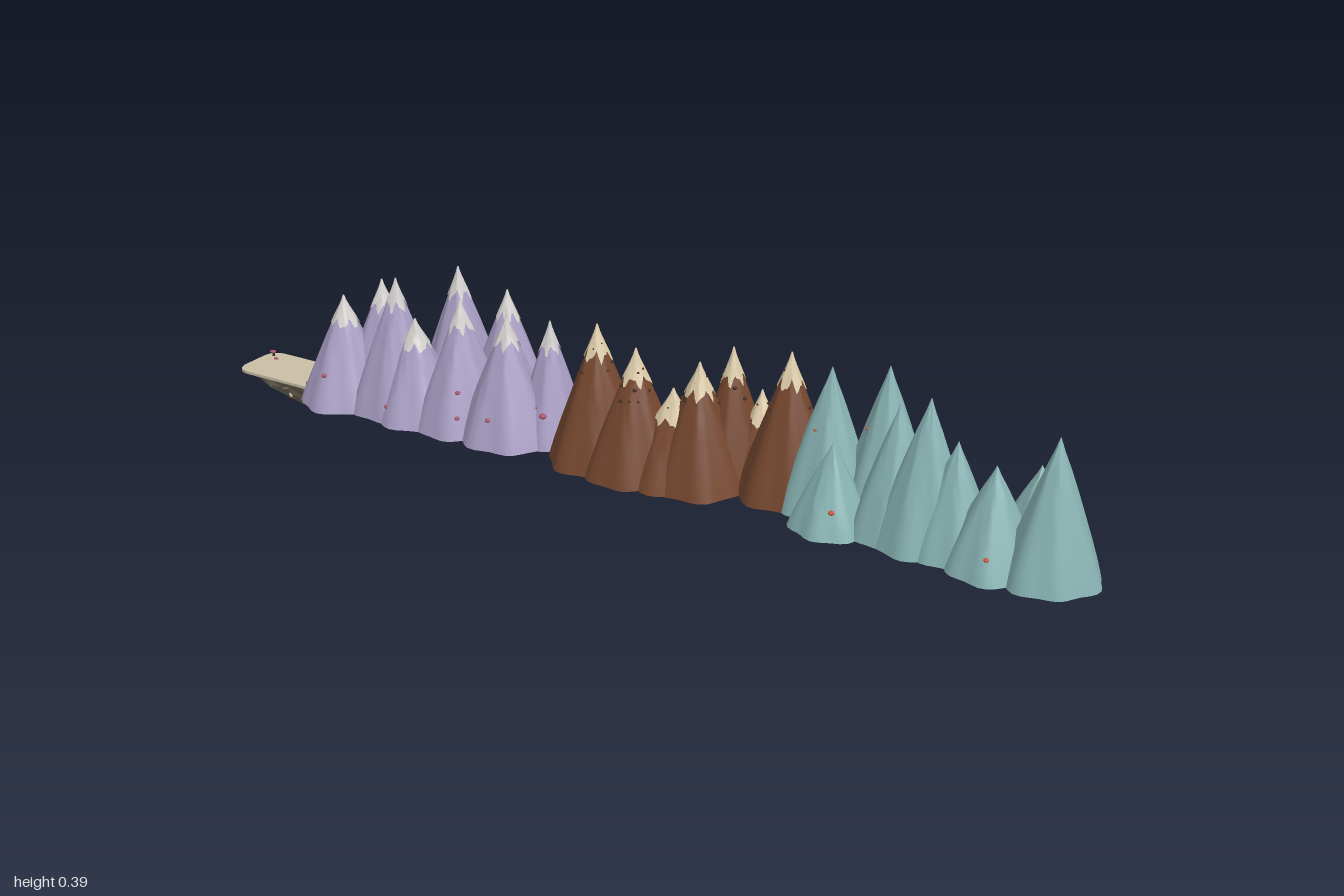
import * as THREE from 'three';
import { mergeVertices, toCreasedNormals } from 'three/addons/utils/BufferGeometryUtils.js';

const mat = (name, color, side = THREE.FrontSide) => {
  const m = new THREE.MeshStandardMaterial({ color, side });
  m.name = name;
  return m;
};
const BASE = 0.08;

// [x, z, peak y, base radius]
const RANGES = {
  lilac: [
    [-0.69, 0.05, 0.31, 0.1], [-0.63, -0.005, 0.34, 0.1], [-0.565, 0.03, 0.365, 0.1],
    [-0.51, 0.04, 0.29, 0.1], [-0.47, -0.06, 0.382, 0.1], [-0.4, 0.03, 0.35, 0.1],
    [-0.345, -0.06, 0.355, 0.1], [-0.28, 0.035, 0.34, 0.1], [-0.205, -0.01, 0.33, 0.08],
  ],
  brown: [
    [-0.13, -0.07, 0.3, 0.085], [-0.065, 0.03, 0.365, 0.1], [0.035, 0.045, 0.34, 0.1],
    [0.115, 0.035, 0.27, 0.095], [0.165, 0.02, 0.33, 0.1], [0.208, -0.035, 0.352, 0.085],
    [0.265, -0.05, 0.27, 0.075], [0.338, -0.03, 0.37, 0.1],
  ],
  teal: [
    [0.43, -0.02, 0.368, 0.095], [0.475, 0.055, 0.25, 0.08], [0.535, -0.05, 0.382, 0.095],
    [0.588, 0.01, 0.34, 0.09], [0.655, 0.025, 0.37, 0.095], [0.715, 0.03, 0.3, 0.085],
    [0.8, 0.05, 0.28, 0.09], [0.85, -0.04, 0.258, 0.092], [0.91, 0.038, 0.357, 0.092],
  ],
};

// Slope profile (share of radius at share of height) and ridged outline
const PROFILE = [[0, 1], [0.12, 0.9], [0.28, 0.75], [0.45, 0.58], [0.62, 0.41], [0.78, 0.24], [0.9, 0.1], [1, 0]];
function slope(t) {
  for (let i = 1; i < PROFILE.length; i++) {
    const [t0, r0] = PROFILE[i - 1], [t1, r1] = PROFILE[i];
    if (t <= t1) return r0 + ((r1 - r0) * (t - t0)) / (t1 - t0);
  }
  return 0;
}
const ridge = (a, t, seed) => 1 + 0.045 * Math.cos(7 * a + seed * 2.1 + t) + 0.035 * Math.cos(3 * a + seed * 1.3);

// Bend a lathe by a rule, then weld its seam and keep hard edges
function sculpt(points, segments, rule, crease) {
  let g = new THREE.LatheGeometry(points.map(p => new THREE.Vector2(p[0], p[1])), segments);
  const p = g.attributes.position, v = new THREE.Vector3();
  for (let i = 0; i < p.count; i++) {
    v.fromBufferAttribute(p, i);
    rule(v, Math.atan2(v.x, v.z));
    p.setXYZ(i, v.x, v.y, v.z);
  }
  g.deleteAttribute('uv');
  g.deleteAttribute('normal');
  g = mergeVertices(g, 1e-5);
  return toCreasedNormals(g, crease);
}

export function createModel() {
  const M = {
    lilac: mat('lilac rock', 0xa99ec4), brown: mat('brown rock', 0x75472f), teal: mat('teal rock', 0x88b2b2),
    snow: mat('snow', 0xd2cfcd, THREE.DoubleSide), cream: mat('cream snow', 0xdccbaa, THREE.DoubleSide),
    rose: mat('rose pebble', 0xa8586a), dark: mat('dark rock', 0x41291e), stone: mat('grey stone', 0x6e6757),
    sand: mat('sand', 0xc8bea4), orange: mat('orange pebble', 0xc4583a),
  };
  const root = new THREE.Group();
  let s = 7;
  const rand = () => (s = (s * 16807) % 2147483647) / 2147483647;
  const add = (name, geo, material, parent, x = 0, y = 0, z = 0) => {
    const mesh = new THREE.Mesh(geo, material);
    mesh.name = name;
    mesh.position.set(x, y, z);
    parent.add(mesh);
    return mesh;
  };
  const pebbleGeo = new THREE.IcosahedronGeometry(1, 1);

  let seed = 0;
  for (const [kind, peaks] of Object.entries(RANGES)) {
    const range = new THREE.Group();
    range.name = kind + 'Range';
    root.add(range);
    for (const [x, z, top, r] of peaks) {
      const id = seed++, h = top - BASE;
      const mountain = new THREE.Group();
      mountain.name = 'mountain';
      mountain.position.set(x, BASE + id * 0.00002, z);
      range.add(mountain);

      // Ridged peak with a flat underside
      const pts = [[0, 0], ...PROFILE.map(([t, k]) => [r * k, h * t])];
      add('peak', sculpt(pts, 36, (v, a) => {
        const k = ridge(a, v.y / h, id);
        v.x *= k;
        v.z *= k;
      }, 0.8), M[kind], mountain);

      // Snow cap with a jagged hem
      if (kind !== 'teal') {
        const t0 = 1 - (kind === 'lilac' ? 0.055 : 0.06) / h;
        const rows = [0, 0.3, 0.6, 0.85, 1].map(u => t0 + (1 - t0) * u);
        add('snowCap', sculpt(rows.map(t => [r * slope(t) + 0.0001, t * h]), 36, (v, a) => {
          let t = v.y / h;
          if (t < t0 + 0.001) t += 0.035 * Math.cos(6 * a + id) + 0.02 * Math.cos(11 * a);
          const k = r * slope(t) * ridge(a, t, id) * 1.04 + 0.0015;
          v.set(Math.sin(a) * k, t * h + (t > 0.99 ? 0.003 : 0), Math.cos(a) * k);
        }, 0.8), kind === 'lilac' ? M.snow : M.cream, mountain);
      }

      // Pebbles resting on the slopes
      const scatter = (name, count, material, lo, hi, size) => {
        for (let i = 0; i < count; i++) {
          const a = rand() * Math.PI * 2, t = lo + rand() * (hi - lo);
          const k = r * slope(t) * ridge(a, t, id);
          const q = size * (0.7 + 0.6 * rand());
          add(name, pebbleGeo, material, mountain, Math.sin(a) * k, t * h, Math.cos(a) * k).scale.set(q, q * 0.75, q);
        }
      };
      if (kind === 'lilac') scatter('pebble', 5, M.rose, 0.04, 0.35, 0.007);
      if (kind === 'brown') {
        scatter('darkStone', 7, M.dark, 0.62, 0.74, 0.004);
        scatter('capStone', 3, M.dark, 0.82, 0.9, 0.003);
      }
      if (kind === 'teal') scatter('pebble', 1, M.orange, 0.2, 0.6, 0.005);
    }
  }

  // Floating islet at the end of the range
  const islet = new THREE.Group();
  islet.name = 'islet';
  islet.position.set(-0.845, 0, -0.003);
  root.add(islet);
  const L = 0.155, W = 0.063, c = 0.035;
  const shape = new THREE.Shape();
  shape.moveTo(-L + c, -W);
  shape.lineTo(L - c, -W);
  shape.quadraticCurveTo(L, -W, L, -W + c);
  shape.lineTo(L, W - c);
  shape.quadraticCurveTo(L, W, L - c, W);
  shape.lineTo(-L + c, W);
  shape.quadraticCurveTo(-L, W, -L, W - c);
  shape.lineTo(-L, -W + c);
  shape.quadraticCurveTo(-L, -W, -L + c, -W);
  const slab = new THREE.ExtrudeGeometry(shape, { depth: 0.006, bevelEnabled: false, curveSegments: 6 });
  slab.rotateX(-Math.PI / 2);
  add('isletTop', slab, M.sand, islet, 0, 0.076, 0);

  // Craggy underside, squared at the top and pointed below
  const crag = [[0, 0], [0.12, 0.009], [0.34, 0.024], [0.58, 0.042], [0.8, 0.06], [0.94, 0.077]];
  const cragPoint = (u, a, y) => {
    const n = 1 + (0.09 * Math.cos(9 * a + y * 60) + 0.06 * Math.cos(17 * a - y * 90)) * (y < 0.07 ? 1 : 0.2);
    const box = 1 / Math.pow(Math.sin(a) ** 4 + Math.cos(a) ** 4, 0.25);
    return [Math.sin(a) * u * n * L * box, Math.cos(a) * u * n * W * box];
  };
  add('isletRock', sculpt(crag, 44, (v, a) => {
    [v.x, v.z] = cragPoint(Math.hypot(v.x, v.z), a, v.y);
  }, 0.25), M.stone, islet);

  // Crystals and stones set in the underside
  const gems = [M.teal, M.sand, M.dark, M.sand];
  for (let i = 0; i < 20; i++) {
    const j = 2 + (i % 3), a = i * 2.4;
    const [x, z] = cragPoint(crag[j][0] * 0.98, a, crag[j][1]);
    add('crystal', pebbleGeo, gems[i % 4], islet, x, crag[j][1], z).scale.set(0.005, 0.008, 0.004);
  }

  // Root poking out of the side and a small sprout on top
  const twig = new THREE.CatmullRomCurve3([[-0.02, 0.06, 0.05], [-0.017, 0.065, 0.064], [-0.012, 0.069, 0.078]]
    .map(p => new THREE.Vector3(...p)));
  add('root', new THREE.TubeGeometry(twig, 8, 0.003, 6), M.stone, islet);
  add('sproutStem', new THREE.CylinderGeometry(0.002, 0.003, 0.012, 6), M.dark, islet, -0.135, 0.087, -0.04);
  add('sproutHead', pebbleGeo, M.rose, islet, -0.137, 0.092, -0.04).scale.set(0.008, 0.003, 0.006);
  add('sproutHead', pebbleGeo, M.rose, islet, -0.118, 0.083, -0.028).scale.set(0.006, 0.003, 0.004);
  return root;
}
